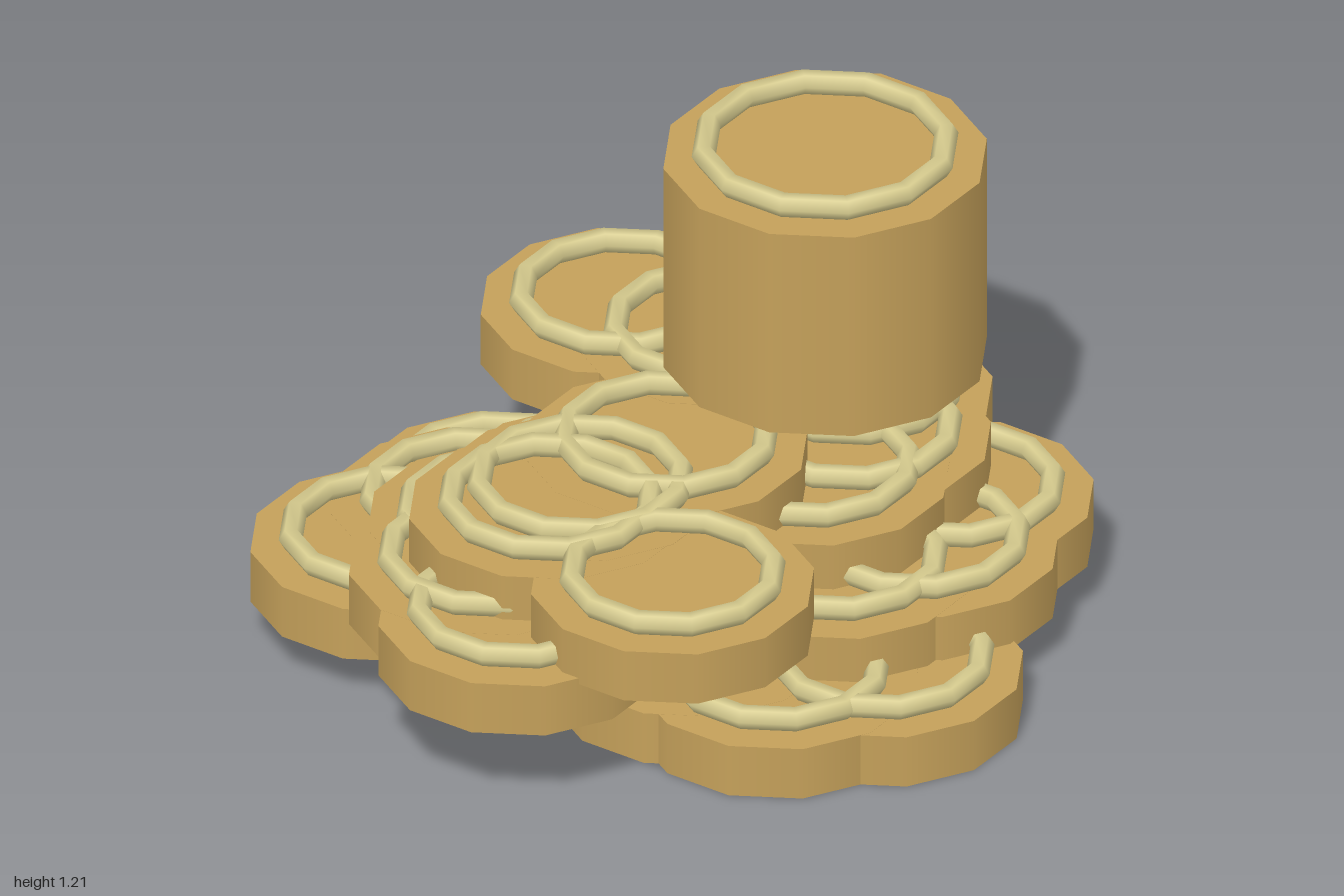
import * as THREE from 'three';

export function createModel() {
  const model = new THREE.Group();
  model.name = 'coinPile';
  const gold = new THREE.MeshStandardMaterial({ color: 0xc4a05a });
  gold.name = 'old gold';
  const pale = new THREE.MeshStandardMaterial({ color: 0xd6cb8e });
  pale.name = 'pale gold';

  const SIDES = 12;
  const TUBE = 0.03;

  // a disc with a raised ring lying on its top face
  function makeCoin(name, radius, height, x, y, z) {
    const coin = new THREE.Group();
    coin.name = name;
    const disc = new THREE.Mesh(new THREE.CylinderGeometry(radius, radius, height, SIDES), gold);
    disc.name = 'disc';
    disc.position.y = height / 2;
    const ringShape = new THREE.TorusGeometry(radius - 0.1, TUBE, 6, SIDES);
    ringShape.rotateX(Math.PI / 2);
    const ring = new THREE.Mesh(ringShape, pale);
    ring.name = 'raisedRing';
    ring.position.y = height + 0.026;
    coin.add(disc, ring);
    coin.position.set(x, y, z);
    model.add(coin);
  }

  // coin centres [x, z] in each layer, two overlapping clusters per layer
  const layers = [
    [[0.13, 0.62], [-0.1, 0.5], [-0.16, 0.25], [-0.04, -0.62], [0.13, -0.22], [0.08, -0.46]],
    [[0.65, 0.27], [0.43, 0.4], [0.21, 0.35], [-0.535, -0.44], [-0.27, -0.45], [0.02, -0.33]],
    [[-0.65, 0.18], [-0.55, -0.05], [-0.38, -0.18], [-0.08, -0.1], [0.64, -0.1], [0.5, 0.06], [0.31, 0.13]],
    [[-0.4, 0.46], [-0.4, -0.0], [-0.29, -0.02], [0.0, -0.04], [0.35, -0.62], [0.43, -0.36]],
  ];
  layers.forEach((coins, layer) => {
    coins.forEach(([x, z], i) => {
      // a hair of height between neighbours keeps the overlapping faces clean
      makeCoin(`coinLayer${layer + 1}No${i + 1}`, 0.35, 0.14 + i * 0.0004, x, layer * 0.123, z);
    });
  });

  // tall column of coins above the pile
  makeCoin('tallStack', 0.4, 0.565, 0.49, 0.59, -0.02);

  return model;
}
